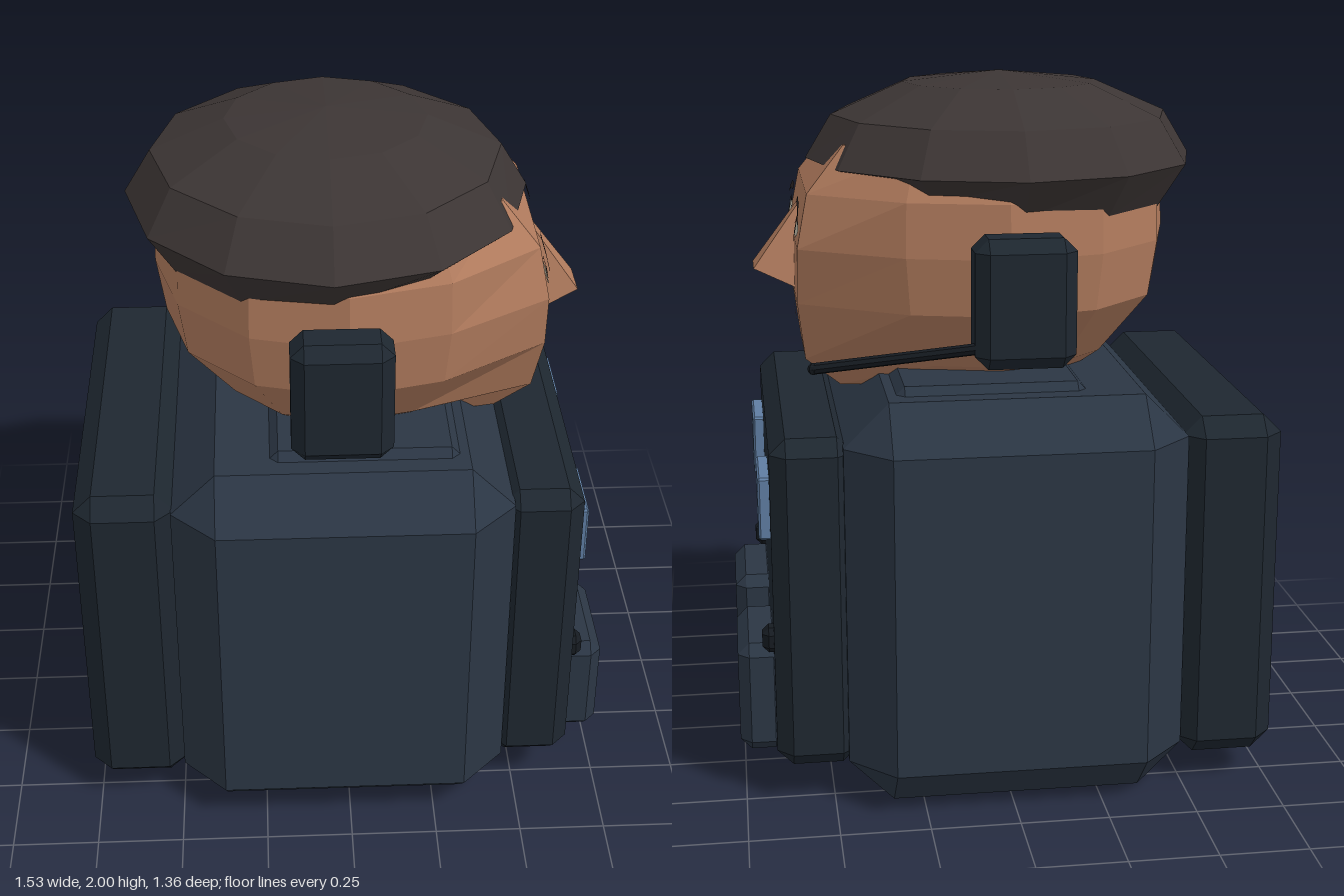
import * as THREE from 'three';
import { ConvexGeometry } from 'three/addons/geometries/ConvexGeometry.js';

const mat = (color, side = THREE.FrontSide) => new THREE.MeshStandardMaterial({ color, side, flatShading: true });
const navy = mat(0x2b3644), dark = mat(0x1e2730), blue = mat(0x5f7da2), black = mat(0x161b21);
const skin = mat(0xb27c5e), hairMat = mat(0x3c3534);
const eyeMat = mat(0xc4c0ae, THREE.DoubleSide), irisMat = mat(0x454541, THREE.DoubleSide);
const browMat = mat(0x2b2626, THREE.DoubleSide), lipMat = mat(0x875642, THREE.DoubleSide);

function add(group, name, geometry, material) {
  const mesh = new THREE.Mesh(geometry, material);
  mesh.name = name;
  group.add(mesh);
  return mesh;
}

// Box between two corners with all edges chamfered by b
function chamferBox([x0, y0, z0], [x1, y1, z1], b) {
  const pts = [];
  for (const [x, sx] of [[x0, 1], [x1, -1]])
    for (const [y, sy] of [[y0, 1], [y1, -1]])
      for (const [z, sz] of [[z0, 1], [z1, -1]]) {
        const X = x + sx * b, Y = y + sy * b, Z = z + sz * b;
        pts.push(new THREE.Vector3(x, Y, Z), new THREE.Vector3(X, y, Z), new THREE.Vector3(X, Y, z));
      }
  return new ConvexGeometry(pts);
}

// Skin over rings of equal point count, bottom to top; first and last rings are single points
function loft(rings) {
  const n = rings[0].length, index = [];
  for (let i = 0; i < rings.length - 1; i++)
    for (let j = 0; j < n; j++) {
      const a = i * n + j, b = i * n + (j + 1) % n;
      if (i > 0) index.push(a, a + n, b);
      if (i < rings.length - 2) index.push(b, a + n, b + n);
    }
  const g = new THREE.BufferGeometry();
  g.setAttribute('position', new THREE.Float32BufferAttribute(rings.flat(2), 3));
  g.setIndex(index);
  const flat = g.toNonIndexed();
  flat.computeVertexNormals();
  return flat;
}

const SIDES = 12;
const ring = (fn) => Array.from({ length: SIDES }, (_, j) => fn(j * Math.PI * 2 / SIDES, Math.min(j, SIDES - j), j));

// Head sections: y, radius, face plane x, face half width
const HEAD = [
  [1.093, 0, 0.40, 0.0],
  [1.12, 0.24, 0.44, 0.15],
  [1.205, 0.36, 0.54, 0.18],
  [1.38, 0.505, 0.562, 0.245],
  [1.54, 0.53, 0.56, 0.28],
  [1.69, 0.525, 0.53, 0.262],
  [1.82, 0.46, 0.425, 0.235],
  [1.9, 0, 0, 0],
];

function headGeometry() {
  return loft(HEAD.map(([y, r, fx, fz]) => ring((a, k, j) => {
    if (r === 0) return [fx ? 0.2 : 0, y, 0];
    // front three points form the flat face
    if (k < 2) return [fx, y, k === 0 ? 0 : (j === 1 ? fz : -fz)];
    return [0.01 + r * Math.cos(a) - (k > 2 ? 0.01 : 0), y, r * Math.sin(a)];
  })));
}

function hairGeometry() {
  const c = -0.042;
  const rimY = [1.752, 1.735, 1.685, 1.65, 1.635, 1.63, 1.63];
  const at = (y, r) => ring((a) => [c + r * Math.cos(a), y, r * Math.sin(a)]);
  return loft([
    at(1.76, 0),
    ring((a, k) => [c + 0.48 * Math.cos(a), rimY[k], 0.5 * Math.sin(a)]),
    ring((a) => [c + 0.562 * Math.cos(a), 1.757, 0.585 * Math.sin(a)]),
    at(1.88, 0.487),
    at(1.97, 0.28),
    at(2.0, 0),
  ]);
}

// x of the face plane at height y
function faceX(y) {
  const i = Math.max(1, HEAD.findIndex((h) => h[0] >= y));
  const p = HEAD[i - 1], q = HEAD[i];
  return p[2] + (q[2] - p[2]) * (y - p[0]) / (q[0] - p[0]);
}

// Flat outline given as [z, y] laid on the face
function faceDecal(points, side, lift) {
  const g = new THREE.ShapeGeometry(new THREE.Shape(points.map(([z, y]) => new THREE.Vector2(-z * side, y))));
  g.rotateY(Math.PI / 2);
  const p = g.attributes.position;
  for (let i = 0; i < p.count; i++) p.setX(i, faceX(p.getY(i)) + lift);
  g.computeVertexNormals();
  return g;
}

export function createModel() {
  const model = new THREE.Group();
  model.name = 'bust';

  // Body and gear
  add(model, 'torso', chamferBox([-0.495, 0, -0.68], [0.46, 1.167, 0.68], 0.125), navy);
  add(model, 'collar', chamferBox([-0.22, 1.08, -0.5], [0.31, 1.19, 0.5], 0.025), navy);
  add(model, 'backpack', chamferBox([-0.765, 0.08, -0.58], [-0.485, 1.09, 0.58], 0.053), dark);
  add(model, 'vest', chamferBox([0.43, 0.105, -0.555], [0.66, 1.065, 0.555], 0.045), dark);

  // Head
  const head = new THREE.Group();
  head.name = 'head';
  model.add(head);
  add(head, 'skull', headGeometry(), skin);
  add(head, 'hair', hairGeometry(), hairMat);

  const V = (x, y, z) => new THREE.Vector3(x, y, z);
  const nose = [];
  for (const s of [-1, 1])
    nose.push(V(0.545, 1.63, 0.03 * s), V(0.5, 1.63, 0.03 * s), V(0.678, 1.448, 0.062 * s),
      V(0.56, 1.395, 0.085 * s), V(0.5, 1.395, 0.085 * s));
  add(head, 'nose', new ConvexGeometry(nose), skin);

  add(head, 'upperLip', faceDecal([[-0.13, 1.31], [-0.03, 1.323], [0, 1.317], [0.03, 1.323], [0.13, 1.31], [0, 1.307]], 1, 0.006), lipMat);
  add(head, 'lowerLip', faceDecal([[-0.09, 1.303], [0, 1.301], [0.09, 1.303], [0.04, 1.288], [-0.04, 1.288]], 1, 0.006), lipMat);

  // Mirrored pairs: side 1 is +z, side -1 is -z
  for (const s of [1, -1]) {
    const tag = s > 0 ? 'Right' : 'Left';
    const pair = (name, [x0, y0, z0], [x1, y1, z1], b, m) =>
      add(model, name + tag, chamferBox([x0, y0, s > 0 ? z0 : -z1], [x1, y1, s > 0 ? z1 : -z0], b), m);
    pair('pouch', [0.63, 0.12, 0.105], [0.762, 0.443, 0.455], 0.032, navy);
    pair('patch', [0.65, 0.75, 0.205], [0.692, 0.93, 0.43], 0.006, blue);
    pair('clip', [0.64, 0.435, 0.425], [0.692, 0.508, 0.495], 0.018, black);
    pair('earpiece', [-0.16, 1.27, 0.522], [0.112, 1.62, 0.675], 0.036, dark);

    add(head, 'eye' + tag, faceDecal([[0.12, 1.58], [0.165, 1.604], [0.23, 1.607], [0.278, 1.59], [0.235, 1.565], [0.165, 1.563]], s, 0.006), eyeMat);
    add(head, 'iris' + tag, faceDecal([[0.182, 1.57], [0.182, 1.599], [0.222, 1.6], [0.222, 1.57]], s, 0.01), irisMat);
    add(head, 'lid' + tag, faceDecal([[0.12, 1.58], [0.165, 1.604], [0.23, 1.607], [0.278, 1.59], [0.232, 1.615], [0.163, 1.612]], s, 0.009), browMat);
    add(head, 'eyebrow' + tag, faceDecal([[0.115, 1.648], [0.118, 1.668], [0.225, 1.66], [0.285, 1.632], [0.275, 1.618], [0.222, 1.64]], s, 0.014), browMat);
  }

  // Microphone boom from the -z earpiece
  const boom = new THREE.LineCurve3(V(0.08, 1.33, -0.635), V(0.53, 1.245, -0.46));
  add(model, 'microphoneBoom', new THREE.TubeGeometry(boom, 1, 0.016, 8), black);
  const tip = add(model, 'microphoneTip', new THREE.SphereGeometry(0.017, 8, 6), black);
  tip.position.copy(boom.v2);

  return model;
}
